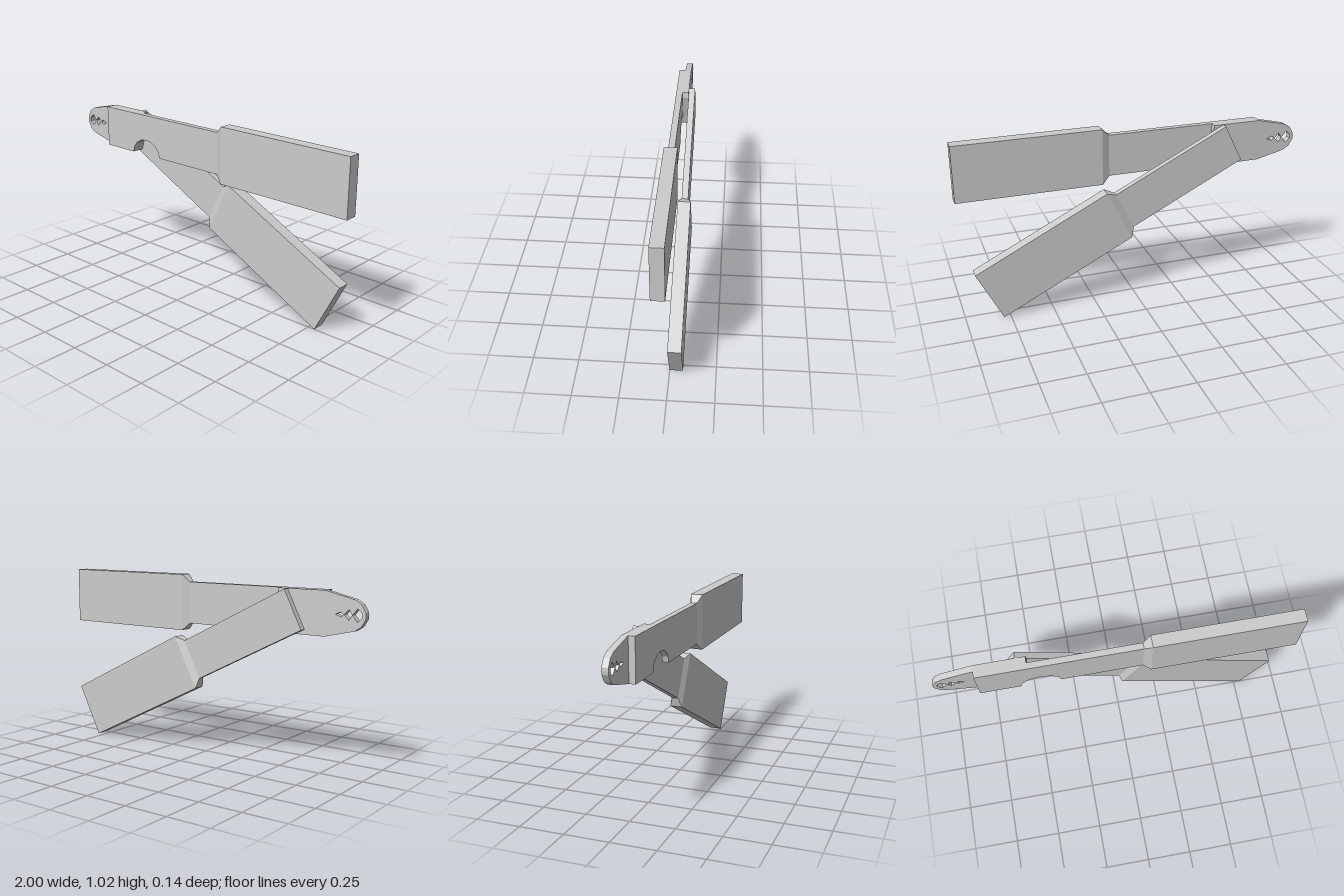
import * as THREE from 'three';

const material = new THREE.MeshStandardMaterial({ color: 0xcccccc, flatShading: true });
const path = (C, pts) => new C(pts.map(([x, y]) => new THREE.Vector2(x, y)));

// Flat plate cut from an outline, spanning z0 to z1
function plate(name, outline, z0, z1, holes = []) {
  const shape = path(THREE.Shape, outline);
  shape.holes = holes.map((h) => path(THREE.Path, h));
  const geo = new THREE.ExtrudeGeometry(shape, { depth: z1 - z0, bevelEnabled: false });
  geo.translate(0, 0, z0);
  const mesh = new THREE.Mesh(geo, material);
  mesh.name = name;
  return mesh;
}

// Block between x0 and x1 whose end sections are [halfHeight, zMin, zMax]
function block(name, x0, x1, a, b) {
  const geo = new THREE.BoxGeometry(1, 1, 1);
  const p = geo.attributes.position;
  for (let i = 0; i < p.count; i++) {
    const [h, zMin, zMax] = p.getX(i) < 0 ? a : b;
    p.setXYZ(i, p.getX(i) < 0 ? x0 : x1, Math.sign(p.getY(i)) * h, p.getZ(i) < 0 ? zMin : zMax);
  }
  geo.computeVertexNormals();
  const mesh = new THREE.Mesh(geo, material);
  mesh.name = name;
  return mesh;
}

export function createModel() {
  const model = new THREE.Group();
  model.name = 'handTool';

  // Upper arm, with a rounded notch in its lower edge
  const upper = new THREE.Group();
  upper.name = 'upperArm';
  upper.position.y = 0.862;
  const notch = [];
  for (let i = 0; i <= 8; i++) {
    const a = Math.PI - (Math.PI * i) / 8;
    notch.push([-0.435 + 0.11 * Math.cos(a), -0.12 + 0.09 * Math.sin(a)]);
  }
  const slim = [0.12, 0.018, 0.054];
  const thick = [0.162, 0, 0.072];
  upper.add(
    plate('upperBar', [[-0.77, -0.12], ...notch, [0.13, -0.12], [0.13, 0.12], [-0.77, 0.12]], slim[1], slim[2]),
    block('upperNeck', 0.13, 0.173, slim, thick),
    block('upperHandle', 0.173, 1, thick, thick),
  );

  // Lower arm, swung down behind the upper one
  const lower = new THREE.Group();
  lower.name = 'lowerArm';
  lower.position.set(-0.5975, 0.875, 0);
  lower.rotation.z = -0.4645;
  const slimBack = [0.118, -0.054, -0.018];
  const thickBack = [0.162, -0.072, 0];
  lower.add(
    block('lowerBar', 0, 0.737, slimBack, slimBack),
    block('lowerNeck', 0.737, 0.778, slimBack, thickBack),
    block('lowerHandle', 0.778, 1.632, thickBack, thickBack),
  );

  // Jaw plate between the arms, pierced by three diamond holes
  const y = 0.863;
  const jaw = plate('jawPlate', [
    [-0.77, 0.742], [-0.545, 0.742], [-0.52, 0.83], [-0.485, 0.95], [-0.49, 0.982], [-0.77, 0.982],
    [-0.94, 0.942], [-0.975, 0.92], [-0.998, 0.88], [-1, 0.862], [-0.998, 0.844], [-0.975, 0.805], [-0.94, 0.782],
  ], -0.018, 0.018, [
    [[-0.978, y + 0.012], [-0.953, y + 0.034], [-0.925, y], [-0.953, y - 0.034], [-0.978, y - 0.012]],
    [[-0.93 + 0.007, y], [-0.905, y + 0.027], [-0.878, y], [-0.905, y - 0.027]],
    [[-0.876, y], [-0.86, y + 0.013], [-0.828, y], [-0.86, y - 0.013]],
  ]);

  model.add(upper, lower, jaw);
  return model;
}
